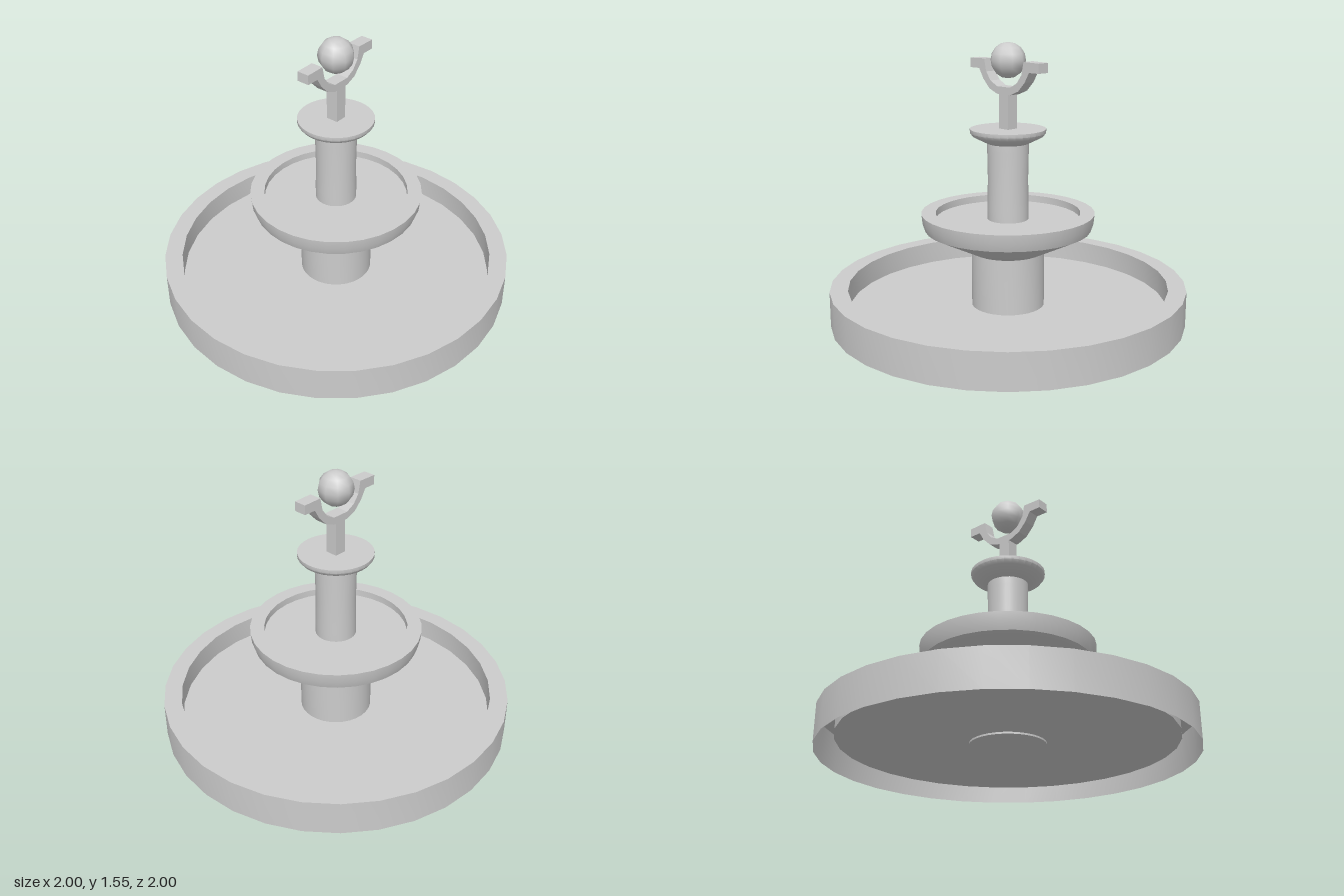
import * as THREE from 'three';
import { toCreasedNormals } from 'three/addons/utils/BufferGeometryUtils.js';

const SEGMENTS = 32;

export function createModel() {
  const fountain = new THREE.Group();
  fountain.name = 'fountain';
  const stone = new THREE.MeshStandardMaterial({ color: 0xcccccc });
  const shell = new THREE.MeshStandardMaterial({ color: 0xcccccc, side: THREE.DoubleSide });

  const add = (name, geometry, material = stone) => {
    const mesh = new THREE.Mesh(geometry, material);
    mesh.name = name;
    fountain.add(mesh);
    return mesh;
  };

  // Turned part from [radius, height] pairs, outside from the bottom up
  const turned = (name, profile, material) => {
    const points = profile.map(([r, y]) => new THREE.Vector2(r, y));
    return add(name, toCreasedNormals(new THREE.LatheGeometry(points, SEGMENTS), 0.65), material);
  };

  // Ground basin: hollow underneath, with a raised floor
  turned('basin', [[1, 0], [1, 0.2], [0.9, 0.2], [0.9, 0.07], [0, 0.07]], shell);

  // Lower pedestal and middle bowl
  turned('lowerPedestal', [[0, 0.06], [0.205, 0.06], [0.205, 0.39]]);
  turned('middleBowl', [
    [0, 0.385], [0.205, 0.385], [0.465, 0.515], [0.48, 0.56], [0.485, 0.61],
    [0.405, 0.61], [0.405, 0.57], [0, 0.57],
  ]);

  // Upper column and the small dish on it
  turned('upperColumn', [[0.115, 0.56], [0.115, 0.64], [0.112, 0.8], [0.115, 0.96], [0.115, 1.01]]);
  turned('topDish', [[0, 1], [0.115, 1], [0.195, 1.04], [0.21, 1.06], [0.21, 1.08], [0, 1.08]]);

  // Square stem
  const stem = add('stem', new THREE.BoxGeometry(0.07, 0.2, 0.07));
  stem.position.y = 1.175;

  // Curved cradle with flat ends, one half mirrored
  const outer = [[0.26, 1.453], [0.26, 1.4], [0.19, 1.4], [0.158, 1.345], [0.11, 1.295], [0.05, 1.27]];
  const inner = [[0.05, 1.311], [0.1, 1.338], [0.135, 1.385], [0.15, 1.455]];
  const mirror = (side) => side.map(([x, y]) => [-x, y]).reverse();
  const outline = [...mirror(outer).reverse(), ...outer.slice().reverse(),
    ...inner.slice().reverse(), ...mirror(inner).reverse()];
  const cradleShape = new THREE.Shape(outline.map(([x, y]) => new THREE.Vector2(x, y)));
  const cradle = new THREE.ExtrudeGeometry(cradleShape, { depth: 0.07, bevelEnabled: false });
  add('cradle', cradle.translate(0, 0, -0.035));

  // Ball floating over the cradle
  const ball = add('ball', new THREE.SphereGeometry(0.098, 9, 8));
  ball.position.y = 1.453;
  ball.rotation.y = -Math.PI / 2;

  return fountain;
}
